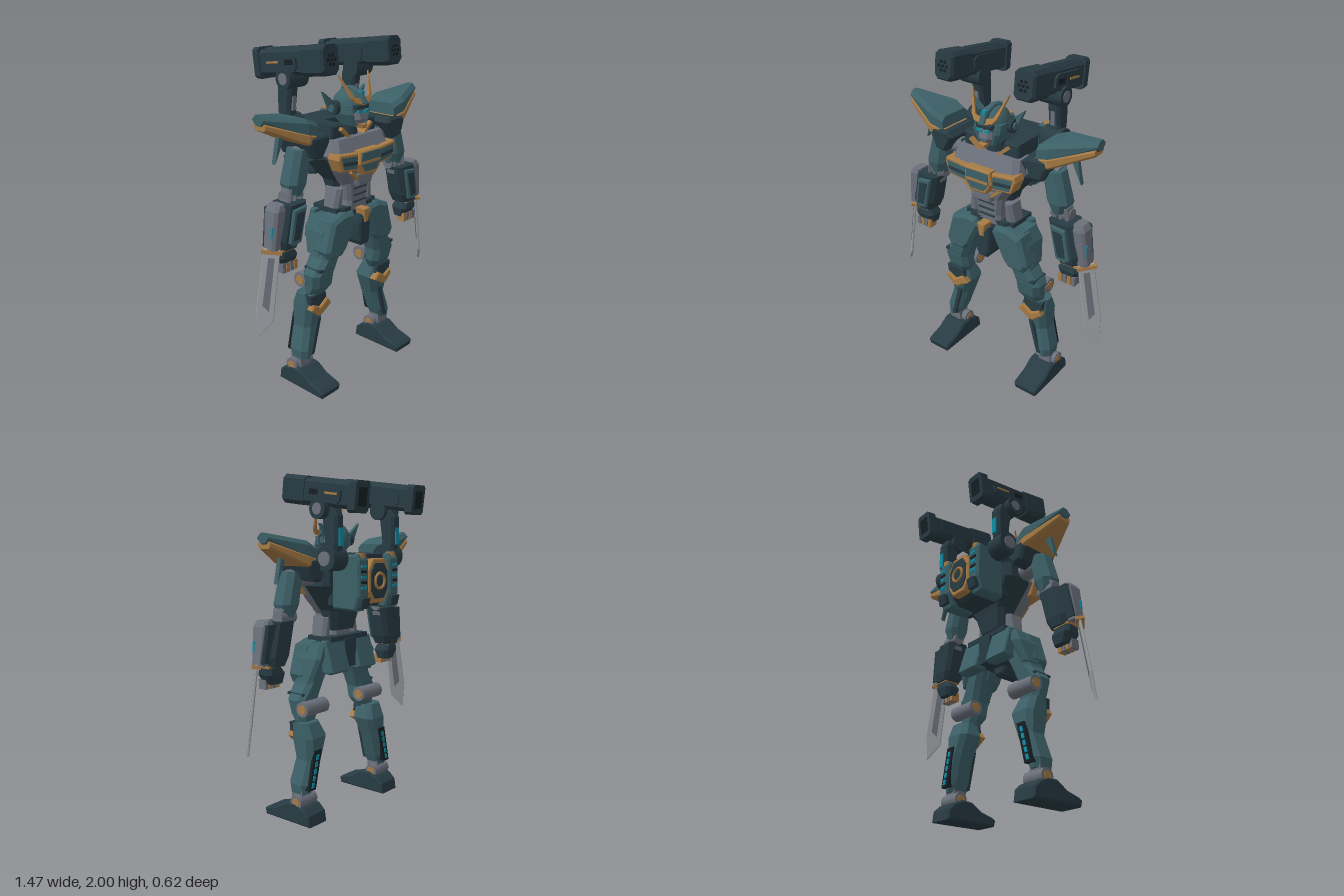
import * as THREE from 'three';

const paint = (name, color) => Object.assign(new THREE.MeshStandardMaterial({ color }), { name });

// Chamfered body lofted along y; rows are [y, x0, x1, z0, z1]
function loft(rows, c = 0.02) {
  const rings = [...rows].sort((a, b) => a[0] - b[0]).map(([y, a, b, d, e]) => {
    const k = Math.min(c, (b - a) * 0.45, (e - d) * 0.45);
    return [[b, d + k], [b, e - k], [b - k, e], [a + k, e], [a, e - k], [a, d + k], [a + k, d], [b - k, d]]
      .map(([x, z]) => [x, y, z]);
  });
  const p = [], tri = (...v) => v.forEach(q => p.push(...q));
  for (let r = 0; r + 1 < rings.length; r++) for (let i = 0; i < 8; i++) {
    const j = (i + 1) % 8, lo = rings[r], hi = rings[r + 1];
    tri(lo[i], hi[i], hi[j]);
    tri(lo[i], hi[j], lo[j]);
  }
  const top = rings[rings.length - 1], bot = rings[0];
  for (let i = 1; i < 7; i++) { tri(top[0], top[i + 1], top[i]); tri(bot[0], bot[i], bot[i + 1]); }
  const g = new THREE.BufferGeometry();
  g.setAttribute('position', new THREE.Float32BufferAttribute(p, 3));
  g.computeVertexNormals();
  return g;
}
// The same along x, rows [x, y0, y1, z0, z1], and along z, rows [z, x0, x1, y0, y1]
const loftX = (rows, c) => loft(rows.map(([x, a, b, d, e]) => [x, -b, -a, d, e]), c).rotateZ(-Math.PI / 2);
const loftZ = (rows, c) => loft(rows.map(([z, a, b, d, e]) => [z, a, b, -e, -d]), c).rotateX(Math.PI / 2);

// Outline [x, y] extruded from z0 to z1
function prism(pts, z0, z1, bevel = 0) {
  const shape = new THREE.Shape(pts.map(q => new THREE.Vector2(...q)));
  return new THREE.ExtrudeGeometry(shape, {
    depth: z1 - z0 - 2 * bevel, bevelEnabled: bevel > 0, bevelSize: bevel, bevelOffset: -bevel,
    bevelThickness: bevel, bevelSegments: 1 }).translate(0, 0, z0 + bevel);
}
// Side outline [z, y] extruded from x0 to x1
const sidePrism = (pts, x0, x1, bevel) => prism(pts, -x1, -x0, bevel).rotateY(-Math.PI / 2);
const sym = half => [...half, ...half.map(([x, y]) => [-x, y]).reverse()];
const box = (x0, x1, y0, y1, z0, z1) => new THREE.BoxGeometry(x1 - x0, y1 - y0, z1 - z0)
  .translate((x0 + x1) / 2, (y0 + y1) / 2, (z0 + z1) / 2);
const axle = (x0, x1, y, z, r, n = 20) => new THREE.CylinderGeometry(r, r, x1 - x0, n)
  .rotateZ(Math.PI / 2).translate((x0 + x1) / 2, y, z);

function mirrored(geo) {
  const g = (geo.index ? geo.toNonIndexed() : geo.clone()).scale(-1, 1, 1);
  for (const a of Object.values(g.attributes)) {
    const n = a.itemSize;
    for (let i = 0; i < a.count; i += 3) for (let k = 0; k < n; k++) {
      const s = (i + 1) * n + k, t = a.array[s];
      a.array[s] = a.array[s + n]; a.array[s + n] = t;
    }
  }
  return g;
}

export function createModel() {
  const root = new THREE.Group();
  root.name = 'robot';
  const teal = paint('teal armour', 0x3c6067), dark = paint('dark armour', 0x283b43),
    grey = paint('grey frame', 0x6a707a), gold = paint('gold trim', 0xa67a45),
    steel = paint('blade steel', 0x9a9fa3), glow = paint('cyan light', 0x0d8fa8), black = paint('black recess', 0x171f24);
  const add = (name, mat, geo) => {
    const m = new THREE.Mesh(geo, mat);
    m.name = name;
    root.add(m);
  };
  const pair = (name, mat, geo) => { add(name + 'Left', mat, geo); add(name + 'Right', mat, mirrored(geo)); };

  // Feet and ankles
  pair('foot', dark, sidePrism([[-0.05, 0], [0.3, 0], [0.31, 0.035], [0.29, 0.05], [0.2, 0.075], [0.13, 0.12],
    [0.06, 0.125], [0, 0.1], [-0.04, 0.065]], 0.27, 0.43, 0.01));
  pair('ankle', grey, axle(0.285, 0.425, 0.13, 0.055, 0.042));
  pair('ankleCap', gold, axle(0.282, 0.428, 0.13, 0.055, 0.026));
  pair('ankleStem', grey, box(0.32, 0.4, 0.12, 0.22, 0.03, 0.11));

  // Shins with knee guards and rear light panels
  pair('shin', teal, loft([[0.175, 0.325, 0.4, 0.01, 0.14], [0.23, 0.3, 0.405, 0, 0.145], [0.37, 0.25, 0.365, -0.01, 0.13],
    [0.5, 0.198, 0.37, -0.005, 0.155], [0.585, 0.225, 0.37, 0.03, 0.15]], 0.03));
  pair('shinPlate', dark, prism([[0.265, 0.42], [0.29, 0.42], [0.35, 0.2], [0.325, 0.2]], 0.1, 0.149));
  pair('kneePlate', dark, prism([[0.225, 0.53], [0.235, 0.585], [0.365, 0.585], [0.36, 0.53], [0.29, 0.5]], 0.1, 0.16, 0.005));
  pair('kneeGuard', gold, prism([[0.2, 0.5], [0.235, 0.545], [0.295, 0.505], [0.35, 0.535], [0.365, 0.5], [0.31, 0.45], [0.28, 0.45]],
    0.1, 0.175, 0.008));
  pair('shinPanel', black, prism([[0.275, 0.43], [0.335, 0.43], [0.385, 0.2], [0.33, 0.2]], -0.016, 0.02));
  for (let i = 0; i < 5; i++) {
    const x = 0.313 + i * 0.01, y = 0.39 - i * 0.04;
    pair('shinLight', glow, prism([[x - 0.012, y + 0.015], [x + 0.008, y + 0.015], [x + 0.015, y - 0.015], [x - 0.005, y - 0.015]],
      -0.02, -0.012));
  }

  // Knees and thighs
  pair('knee', grey, axle(0.165, 0.355, 0.665, 0.065, 0.045));
  pair('kneeCap', gold, axle(0.162, 0.358, 0.665, 0.065, 0.028));
  pair('thigh', teal, loft([[0.57, 0.22, 0.34, 0.07, 0.15], [0.63, 0.185, 0.345, 0.07, 0.185], [0.71, 0.185, 0.355, 0.07, 0.2],
    [0.8, 0.15, 0.29, 0.06, 0.21], [1.0, 0.06, 0.24, 0.04, 0.19]], 0.03));
  pair('thighSeam', dark, box(0.2, 0.33, 0.735, 0.75, 0.08, 0.203));

  // Pelvis and skirts
  add('pelvis', dark, loft([[0.88, -0.08, 0.08, 0.05, 0.17], [0.97, -0.15, 0.15, 0.02, 0.2], [1.07, -0.15, 0.15, 0.01, 0.2]], 0.03));
  pair('frontSkirt', teal, prism([[0.045, 1], [0.07, 1.045], [0.15, 1.05], [0.245, 1.02], [0.295, 0.85], [0.27, 0.8], [0.165, 0.8],
    [0.125, 0.84]], 0.1, 0.235, 0.02));
  pair('sideSkirt', teal, loft([[0.82, 0.24, 0.295, 0.05, 0.17], [0.95, 0.2, 0.27, 0.01, 0.19], [1.03, 0.15, 0.23, 0.02, 0.18]]));
  pair('rearSkirt', teal, sidePrism([[0.05, 1.05], [0.01, 1.05], [-0.045, 0.87], [-0.02, 0.855], [0.04, 0.86]], 0.045, 0.21, 0.008));
  add('codpiece', dark, prism(sym([[0.03, 0.83], [0.045, 0.86], [0.05, 0.97], [0.035, 1.02]]), 0.1, 0.255, 0.012));
  add('codpieceTrim', gold, prism(sym([[0.015, 0.975], [0.027, 1.055]]), 0.15, 0.265, 0.004));
  add('rearBlock', dark, box(-0.05, 0.05, 0.88, 1.05, -0.01, 0.05));

  // Waist
  add('waist', grey, loft([[1.04, -0.09, 0.09, 0.05, 0.2], [1.1, -0.08, 0.08, 0.05, 0.2], [1.22, -0.1, 0.1, 0.04, 0.21]]));
  for (const y of [1.09, 1.13, 1.17]) add('waistLine', dark, box(-0.055, 0.055, y, y + 0.008, 0.15, 0.212));
  pair('waistPiston', grey, loft([[1.07, 0.095, 0.165, 0.06, 0.17], [1.18, 0.095, 0.145, 0.06, 0.18]]));
  add('belt', dark, box(-0.17, 0.17, 1.04, 1.07, 0, 0.18));

  // Torso
  add('torsoBack', dark, loft([[1.1, -0.1, 0.1, 0.03, 0.12], [1.22, -0.13, 0.13, 0.01, 0.15], [1.37, -0.25, 0.25, -0.03, 0.16],
    [1.47, -0.24, 0.24, -0.03, 0.16]], 0.03));
  add('chest', grey, loft([[1.18, -0.085, 0.085, 0.08, 0.2], [1.28, -0.16, 0.16, 0.08, 0.235], [1.39, -0.235, 0.235, 0.08, 0.245],
    [1.475, -0.205, 0.205, 0.06, 0.2]], 0.03));
  add('abdomenPlate', grey, prism(sym([[0.055, 1.2], [0.075, 1.27]]), 0.15, 0.25, 0.008));
  pair('chestVentFrame', gold, prism([[0.085, 1.4], [0.235, 1.415], [0.245, 1.385], [0.215, 1.315], [0.09, 1.3]], 0.18, 0.268, 0.006));
  pair('chestVent', teal, prism([[0.095, 1.385], [0.225, 1.398], [0.205, 1.328], [0.097, 1.315]], 0.262, 0.271));
  pair('chestSlat', dark, prism([[0.1, 1.36], [0.215, 1.37], [0.21, 1.35], [0.1, 1.34]], 0.268, 0.276));
  add('chestCentreFrame', gold, prism(sym([[0.055, 1.27], [0.095, 1.335], [0.085, 1.41]]), 0.18, 0.285, 0.008));
  add('chestCentre', teal, prism(sym([[0.046, 1.29], [0.08, 1.338], [0.073, 1.398]]), 0.28, 0.289));
  add('chestCentreBar', gold, prism(sym([[0.075, 1.335], [0.075, 1.35]]), 0.285, 0.293));
  pair('lowerChestTrim', gold, prism([[0.06, 1.255], [0.115, 1.3], [0.125, 1.285], [0.065, 1.235]], 0.2, 0.25));
  pair('collar', dark, prism([[0.07, 1.45], [0.075, 1.5], [0.09, 1.55], [0.185, 1.55], [0.19, 1.45]], -0.02, 0.16, 0.01));
  pair('collarTrim', gold, prism([[0.055, 1.475], [0.12, 1.535], [0.135, 1.52], [0.07, 1.47]], 0.12, 0.185));
  add('neck', dark, new THREE.CylinderGeometry(0.05, 0.06, 0.12, 12).translate(0, 1.51, 0.11));

  // Head
  add('helmet', teal, new THREE.SphereGeometry(1, 24, 16).scale(0.085, 0.1, 0.1).translate(0, 1.633, 0.12));
  pair('cheekGuard', teal, loft([[1.535, 0.035, 0.06, 0.1, 0.21], [1.6, 0.045, 0.09, 0.05, 0.215], [1.65, 0.05, 0.09, 0.05, 0.2]]));
  add('face', grey, loft([[1.53, -0.03, 0.03, 0.1, 0.215], [1.57, -0.045, 0.045, 0.1, 0.228], [1.63, -0.045, 0.045, 0.1, 0.215]]));
  add('chin', gold, prism(sym([[0.015, 1.52], [0.025, 1.545]]), 0.18, 0.24, 0.004));
  pair('eye', glow, prism([[0.01, 1.605], [0.012, 1.617], [0.042, 1.625], [0.04, 1.608]], 0.222, 0.23));
  add('brow', dark, prism(sym([[0.05, 1.625], [0.055, 1.65]]), 0.16, 0.225, 0.005));
  add('crest', teal, sidePrism([[0.07, 1.7], [0.07, 1.735], [0.14, 1.747], [0.21, 1.72], [0.25, 1.66], [0.2, 1.65]], -0.018, 0.018, 0.006));
  add('crestGem', glow, prism(sym([[0.01, 1.7], [0.013, 1.725]]), 0.2, 0.222));
  pair('earPod', dark, axle(0.07, 0.12, 1.63, 0.1, 0.04, 12));
  pair('earPlate', teal, axle(0.12, 0.13, 1.63, 0.1, 0.022, 8));
  pair('earFin', teal, prism([[0.09, 1.62], [0.115, 1.6], [0.175, 1.725], [0.1, 1.67]], 0.07, 0.09));
  pair('horn', gold, prism([[0.0, 1.645], [0, 1.675], [0.06, 1.69], [0.122, 1.815], [0.085, 1.69], [0.06, 1.66]], 0, 0.012)
    .translate(0, -1.645, 0).rotateX(-0.5).scale(1, 1.13, 1).translate(0, 1.645, 0.225));

  // Backpack
  add('backpackCore', dark, sidePrism([[0.02, 1.25], [0.02, 1.55], [-0.17, 1.55], [-0.18, 1.3], [-0.14, 1.25]], -0.185, 0.185, 0.01));
  pair('backpackPod', teal, sidePrism([[-0.02, 1.24], [-0.02, 1.54], [-0.2, 1.555], [-0.218, 1.52], [-0.22, 1.32], [-0.19, 1.235]],
    0.095, 0.188, 0.012));
  pair('thruster', dark, sidePrism([[-0.17, 1.26], [-0.19, 1.32], [-0.24, 1.31], [-0.225, 1.25]], 0.105, 0.175, 0.005));
  pair('podCap', gold, new THREE.CylinderGeometry(0.026, 0.026, 0.03, 12).translate(0.141, 1.545, -0.19));
  for (let i = 0; i < 5; i++) pair('podVent', i % 2 ? black : glow, box(0.125, 0.17, 1.36 + i * 0.03, 1.374 + i * 0.03, -0.225, -0.2));
  const octagon = k => sym([[0.05, 1.4 - 0.12 * k / 0.09], [0.09, 1.34], [0.09, 1.46], [0.05, 1.4 + 0.12 * k / 0.09]].map(([x, y]) =>
    [x * k / 0.09, 1.4 + (y - 1.4) * (Math.abs(y - 1.4) > 0.07 ? 1 : k / 0.09)]));
  add('backEmblemFrame', gold, prism(octagon(0.095), -0.215, -0.16, 0.006));
  add('backPlate', dark, prism(octagon(0.075), -0.221, -0.21));
  add('backRing', gold, new THREE.TorusGeometry(0.043, 0.009, 8, 28).translate(0, 1.4, -0.222));

  // Shoulder pads and spikes
  pair('shoulderPad', teal, loftX([[0.32, 1.5, 1.6, -0.03, 0.19], [0.4, 1.52, 1.63, -0.045, 0.2], [0.635, 1.615, 1.672, 0.03, 0.11]], 0.025));
  pair('shoulderTrim', gold, loftX([[0.31, 1.47, 1.53, -0.035, 0.195], [0.4, 1.487, 1.553, -0.05, 0.206], [0.625, 1.588, 1.63, 0.025, 0.115]], 0.012));
  pair('shoulderBlock', dark, prism([[0.24, 1.5], [0.27, 1.53], [0.39, 1.53], [0.405, 1.49], [0.37, 1.41], [0.3, 1.4]], -0.05, 0.21, 0.015));
  pair('shoulderSpike', teal, prism([[0.47, 1.53], [0.51, 1.55], [0.54, 1.395]], 0.06, 0.09, 0.004));

  // Upper arms and elbows
  pair('shoulderJoint', grey, axle(0.23, 0.42, 1.42, 0.1, 0.05));
  pair('shoulderJointCap', gold, axle(0.4, 0.445, 1.42, 0.1, 0.03));
  pair('upperArm', teal, loft([[1.21, 0.385, 0.475, 0.06, 0.15], [1.28, 0.365, 0.495, 0.04, 0.17], [1.46, 0.325, 0.445, 0.045, 0.165]], 0.03));
  pair('elbow', grey, axle(0.385, 0.505, 1.21, 0.1, 0.036));
  for (const x of [0.41, 0.45, 0.49]) pair('elbowRod', grey, loft([[1.14, x, x + 0.025, 0.07, 0.15], [1.26, x - 0.02, x + 0.005, 0.07, 0.15]]));

  // Forearms with gauntlets and hands
  pair('forearm', dark, loft([[0.945, 0.47, 0.595, 0.06, 0.185], [1.0, 0.445, 0.6, 0.05, 0.195], [1.19, 0.4, 0.555, 0.05, 0.195]], 0.025));
  pair('forearmPlate', teal, prism([[0.43, 1.175], [0.525, 1.165], [0.56, 0.99], [0.535, 0.965], [0.475, 0.98]], 0.1, 0.212, 0.006));
  pair('forearmInset', dark, prism([[0.45, 1.15], [0.51, 1.145], [0.538, 1.0], [0.49, 1.0]], 0.205, 0.215));
  pair('gauntlet', grey, loft([[0.955, 0.58, 0.65, 0.085, 0.17], [1.17, 0.545, 0.625, 0.075, 0.18], [1.2, 0.55, 0.605, 0.085, 0.17]], 0.015));
  pair('gauntletBand', dark, loft([[0.97, 0.575, 0.645, 0.075, 0.12], [1.18, 0.54, 0.615, 0.065, 0.12]], 0.01));
  pair('gauntletLight', glow, loft([[1.02, 0.635, 0.643, 0.145, 0.16], [1.09, 0.625, 0.64, 0.145, 0.16]], 0.002));
  pair('hand', dark, loft([[0.845, 0.475, 0.57, 0.08, 0.165], [0.9, 0.465, 0.6, 0.07, 0.18], [0.95, 0.5, 0.6, 0.08, 0.17]]));
  for (let i = 0; i < 4; i++) pair('finger', i % 2 ? grey : gold, box(0.478 + i * 0.028, 0.5 + i * 0.028, 0.815, 0.87, 0.12, 0.175));
  pair('wristTrim', gold, box(0.49, 0.605, 0.94, 0.952, 0.075, 0.182));

  // Swords
  const placeSword = g => g.rotateY(Math.PI / 4).rotateZ(0.16).translate(0.632, 0.945, 0.14);
  pair('blade', steel, placeSword(prism([[-0.045, 0.02], [0.045, 0.02], [0.055, -0.33], [0.03, -0.485], [-0.045, -0.38]], -0.007, 0.007, 0.003)));
  pair('fuller', grey, placeSword(prism([[-0.02, -0.03], [0.015, -0.03], [0.022, -0.3], [-0.015, -0.33]], -0.0085, 0.0085)));
  pair('swordGuard', gold, placeSword(box(-0.055, 0.055, -0.005, 0.014, -0.025, 0.025)));

  // Launcher arms
  pair('launcherShoulder', dark, axle(0.2, 0.32, 1.53, -0.085, 0.07));
  pair('launcherShoulderCap', grey, axle(0.315, 0.33, 1.53, -0.085, 0.04));
  pair('launcherArm', dark, loft([[1.5, 0.225, 0.3, -0.13, -0.04], [1.62, 0.225, 0.3, -0.15, -0.06], [1.76, 0.225, 0.3, -0.15, -0.04],
    [1.84, 0.23, 0.3, -0.11, 0]], 0.015));
  pair('launcherArmPlate', grey, box(0.25, 0.275, 1.62, 1.7, -0.07, -0.045));
  pair('launcherArmLight', glow, box(0.247, 0.278, 1.6, 1.7, -0.157, -0.14));
  pair('launcherPivot', dark, axle(0.2, 0.343, 1.8, -0.05, 0.056));
  pair('launcherPivotCap', grey, axle(0.335, 0.346, 1.8, -0.05, 0.032));

  // Launchers, tilted nose up
  const launcher = (name, mat, g) => pair(name, mat, g.rotateX(-0.12).translate(0.263, 1.889, -0.035));
  launcher('launcherBody', dark, loftZ([[-0.24, -0.055, 0.055, -0.072, 0.072], [0.2, -0.055, 0.055, -0.072, 0.072]], 0.02));
  launcher('launcherNose', dark, loftZ([[0.1, -0.06, 0.06, -0.08, 0.08], [0.25, -0.066, 0.066, -0.08, 0.08], [0.265, -0.055, 0.055, -0.07, 0.078]], 0.022));
  launcher('launcherTail', dark, loftZ([[-0.268, -0.06, 0.06, -0.085, 0.085], [-0.22, -0.063, 0.063, -0.088, 0.085]], 0.015));
  launcher('launcherSpine', dark, loftZ([[-0.2, -0.03, 0.03, 0.05, 0.08], [0.08, -0.03, 0.03, 0.05, 0.08]], 0.01));
  launcher('launcherSidePlate', dark, loftX([[-0.063, -0.05, 0.04, -0.17, 0.07], [0.068, -0.05, 0.04, -0.17, 0.07]], 0.02));
  launcher('launcherSideSlot', black, box(0.06, 0.071, -0.015, 0.015, -0.01, 0.05));
  launcher('launcherStripe', gold, box(0.06, 0.072, -0.004, 0.008, -0.15, -0.06));
  launcher('launcherTailPort', black, box(-0.035, 0.035, -0.05, 0.05, -0.271, -0.25));
  for (let i = 0; i < 7; i++) {
    const a = i * Math.PI / 3, r = i < 6 ? 0.026 : 0;
    launcher('launcherTube', black, new THREE.CylinderGeometry(0.009, 0.009, 0.02, 10).rotateX(Math.PI / 2)
      .translate(r * Math.cos(a), r * Math.sin(a), 0.258));
  }
  return root;
}
